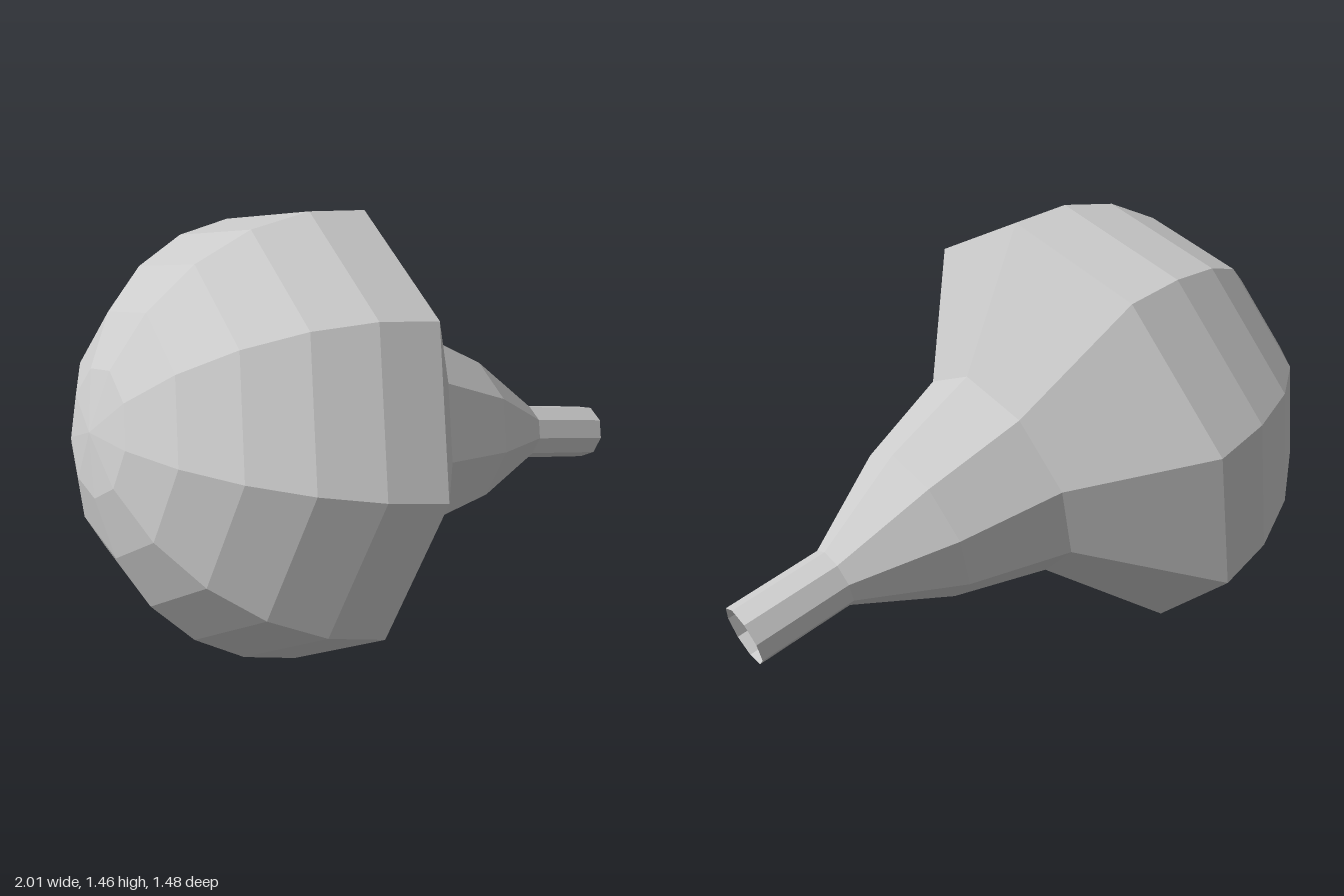
import * as THREE from 'three';

const SIDES = 9;
const RADIUS = 0.76;

export function createModel() {
  const model = new THREE.Group();
  model.name = 'squeezeBulb';
  const material = new THREE.MeshStandardMaterial({
    color: 0xcccccc, flatShading: true, side: THREE.DoubleSide,
  });

  // Each part is a nine-sided lathe along one shared axis; points are [radius, height]
  const addPart = (name, points) => {
    const profile = points.map(([r, h]) => new THREE.Vector2(r, h));
    const mesh = new THREE.Mesh(new THREE.LatheGeometry(profile, SIDES), material);
    mesh.name = name;
    model.add(mesh);
  };

  // Faceted half-sphere, from its pole to the rim in 15 degree steps
  const dome = [];
  for (let i = 0; i <= 6; i++) {
    const a = (i / 6) * Math.PI / 2;
    dome.push([RADIUS * Math.sin(a), -RADIUS * Math.cos(a)]);
  }
  addPart('dome', dome);

  // Steep shoulder, tapering neck and open-ended spout
  addPart('shoulder', [[RADIUS, 0], [0.375, 0.325]]);
  addPart('neck', [[0.375, 0.325], [0.27, 0.655], [0.1, 0.973]]);
  addPart('spout', [[0.1, 0.973], [0.1, 1.3]]);

  // Tilt the axis down and back, with one corner of the rim at the top
  const axis = new THREE.Vector3(0.937, -0.262, -0.232).normalize();
  const corner = new THREE.Vector3(0.268, 0.96, 0.005);
  corner.addScaledVector(axis, -corner.dot(axis)).normalize();
  const across = new THREE.Vector3().crossVectors(axis, corner);
  model.quaternion.setFromRotationMatrix(new THREE.Matrix4().makeBasis(across, axis, corner));
  model.position.set(-0.254, 0.711, -0.008);

  const root = new THREE.Group();
  root.add(model);
  return root;
}
